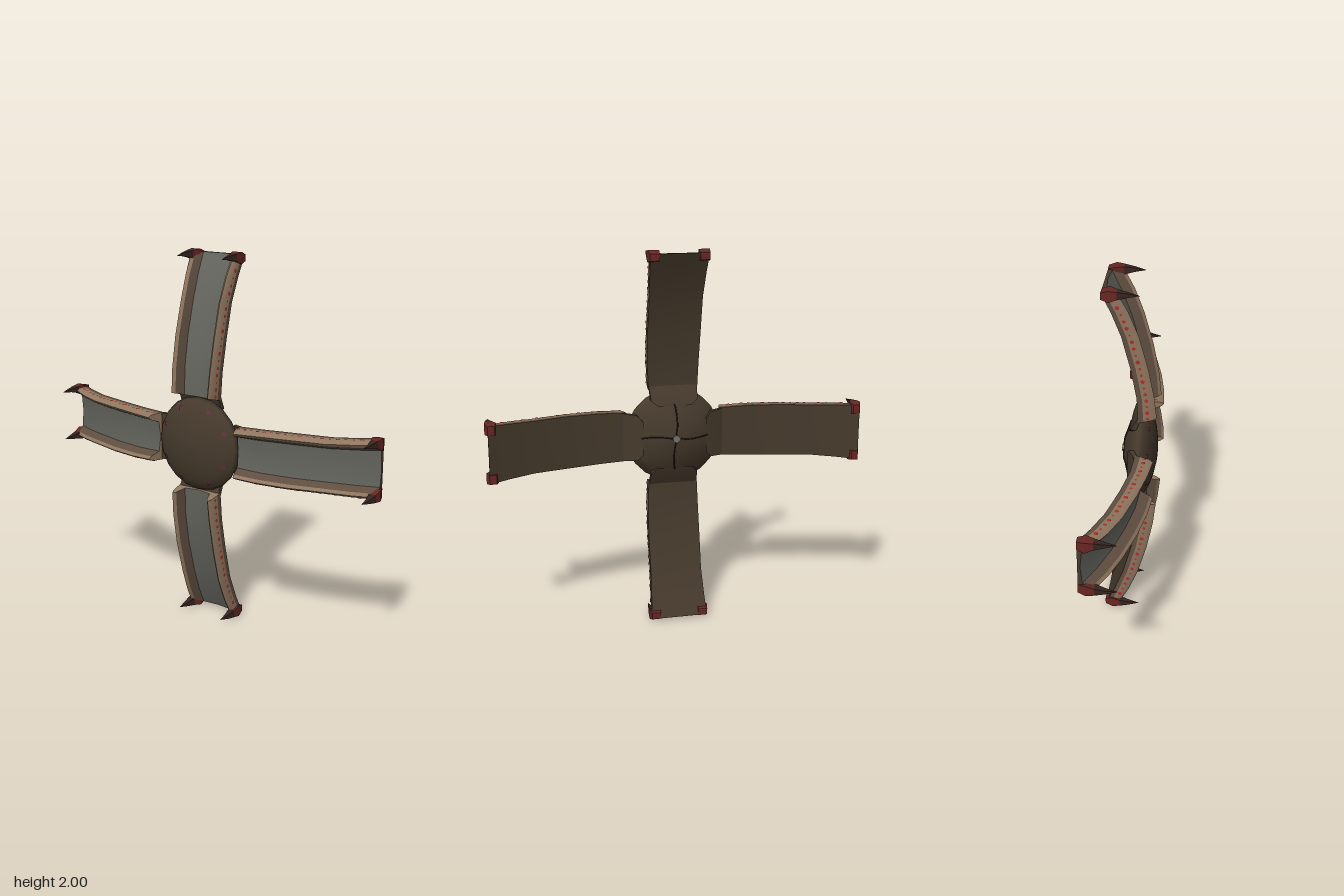
import * as THREE from 'three';
import { mergeGeometries, toCreasedNormals } from 'three/addons/utils/BufferGeometryUtils.js';

const mat = (name, color, side = THREE.FrontSide) => {
  const m = new THREE.MeshStandardMaterial({ color, side });
  m.name = name;
  return m;
};

// Skin a grid of points: rows of equal length, joined row to row
function loft(rows, crease = 0.7) {
  const pos = [];
  for (let i = 0; i < rows.length - 1; i++) {
    for (let j = 0; j < rows[i].length - 1; j++) {
      const a = rows[i][j], b = rows[i][j + 1], c = rows[i + 1][j + 1], d = rows[i + 1][j];
      pos.push(...a, ...b, ...c, ...a, ...c, ...d);
    }
  }
  const g = new THREE.BufferGeometry();
  g.setAttribute('position', new THREE.Float32BufferAttribute(pos, 3));
  g.computeVertexNormals();
  return toCreasedNormals(g, crease);
}

// Arm stations: radius, half width, back z, thickness
const STATIONS = [
  [0.25, 0.132, 0.04, 0.095], [0.4, 0.138, 0.034, 0.088], [0.57, 0.141, 0.004, 0.086],
  [0.75, 0.14, -0.042, 0.084], [0.88, 0.146, -0.09, 0.082], [0.985, 0.152, -0.138, 0.075],
];
// Half of the channel section: width and height fractions
const HALF = [[1, 0], [1, 0.3], [0.97, 0.78], [0.88, 1], [0.77, 0.85], [0.62, 0.3]];
const LOOP = [...HALF, [0, 0.18], ...HALF.map(([t, h]) => [-t, h]).reverse(), HALF[0]];

function ring([r, w, z, h], skew) {
  return LOOP.map(([t, f]) => [r + f * skew, t * w, z + f * h]);
}

function stationAt(r) {
  let i = 0;
  while (i < STATIONS.length - 2 && r > STATIONS[i + 1][0]) i++;
  const a = STATIONS[i], b = STATIONS[i + 1], k = (r - a[0]) / (b[0] - a[0]);
  return a.map((v, n) => v + (b[n] - v) * k);
}

export function createModel() {
  const shell = mat('shell brown', 0x463a2c);
  const rim = mat('rim tan', 0x8f765f);
  const rimInner = mat('rim shadow brown', 0x5f4e40);
  const floor = mat('channel grey', 0x65655f);
  const claw = mat('claw red', 0x672724);
  const clawTip = mat('claw dark', 0x382420);
  const spot = mat('spot red', 0xb02c26, THREE.DoubleSide);
  const mark = mat('hub mark', 0x63303a, THREE.DoubleSide);
  const seam = mat('seam dark', 0x1f1914);
  const stud = mat('stud grey', 0x77756f);

  const root = new THREE.Group();
  root.name = 'fourArmedDisc';
  const body = new THREE.Group();
  body.name = 'body';
  body.position.y = 1;
  root.add(body);
  const add = (parent, name, geometry, material) => {
    const m = new THREE.Mesh(geometry, material);
    m.name = name;
    parent.add(m);
    return m;
  };

  // Hub: lens shaped disc, profile from back centre to front centre
  const profile = [[0, -0.05], [0.07, -0.042], [0.14, -0.02], [0.21, 0.01], [0.255, 0.045],
    [0.243, 0.068], [0.2, 0.092], [0.14, 0.112], [0.07, 0.126], [0, 0.131]];
  const hub = new THREE.LatheGeometry(profile.map(([r, z]) => new THREE.Vector2(r, z)), 20);
  hub.rotateX(Math.PI / 2);
  add(body, 'hub', hub, shell);
  const boss = new THREE.CylinderGeometry(0.02, 0.02, 0.012, 10);
  boss.rotateX(Math.PI / 2);
  boss.translate(0, 0, -0.051);
  add(body, 'backStud', boss, stud);

  // Arm skins, one for each coloured band of the section
  const rings = STATIONS.map((s, i) => ring(s, i === 0 ? 0.025 : 0));
  const band = (from, to) => loft(rings.map((r) => r.slice(from, to + 1)));
  const both = (from, to) => mergeGeometries([band(from, to), band(12 - to, 12 - from)]);
  const flat = (r) => r.map(([x, y], i) => [r[0][0], y, r[0][2]]);
  const first = rings[0].slice(0, 13), last = rings[rings.length - 1].slice(0, 13);
  const armParts = [
    ['armBack', band(12, 13), shell],
    ['armEdges', both(0, 1), rimInner],
    ['armRims', both(1, 4), rim],
    ['rimInnerWalls', both(4, 5), rimInner],
    ['channelFloor', band(5, 7), floor],
    ['armRootCap', loft([flat(first), first]), rim],
    ['armTipCap', loft([last, flat(last)]), shell],
  ];

  // Collar: plate that carries the arm's back onto the hub
  const collar = loft([[0.17, 0.09, -0.011, 0.03], [0.2, 0.125, 0, 0.03], [0.27, 0.13, 0.036, 0.02]]
    .map(([x, w, z, h]) => [[x, w, z], [x, w, z + h], [x, -w, z + h], [x, -w, z], [x, w, z]]));
  armParts.push(['armCollar', collar, shell]);

  // Back seam following the hub from its centre to the arm
  const seamPath = new THREE.CatmullRomCurve3([[0.015, 0, -0.049], [0.07, 0.008, -0.043],
    [0.14, 0.006, -0.021], [0.18, 0, -0.009]].map((p) => new THREE.Vector3(...p)));
  armParts.push(['backSeam', new THREE.TubeGeometry(seamPath, 8, 0.004, 5), seam]);

  // Rows of spots on the outer walls
  const spots = [];
  for (let i = 0; i < 18; i++) {
    const [r, w, z, h] = stationAt(0.28 + i * 0.037);
    for (const s of [-1, 1]) {
      const g = new THREE.CircleGeometry(0.009 + 0.003 * Math.sin(i * 2.3), 6);
      g.rotateX(-s * Math.PI / 2);
      g.translate(r, s * (w * 0.985 + 0.003), z + h * 0.55);
      spots.push(g);
    }
  }
  armParts.push(['rimSpots', mergeGeometries(spots), spot]);

  // Small marks around the hub's front
  const marks = [-1, 1].map((s) => {
    const g = new THREE.CircleGeometry(0.013, 8);
    g.rotateY(0.5);
    g.rotateZ(s * 0.44);
    g.translate(0.19, s * 0.09, 0.091);
    return g;
  });
  armParts.push(['hubMarks', mergeGeometries(marks), mark]);

  // Claws: square sections shrinking to a forward point
  const square = ([x0, x1, y0, y1, z]) =>
    [[x1, y0, z], [x1, y1, z], [x0, y1, z], [x0, y0, z], [x1, y0, z]];
  const clawRings = [[0.965, 0.965, 0.13, 0.13, -0.141], [0.95, 0.986, 0.105, 0.153, -0.139],
    [0.94, 1, 0.1, 0.16, -0.1], [0.955, 0.995, 0.118, 0.157, -0.06],
    [0.966, 0.988, 0.13, 0.15, -0.01], [0.975, 0.975, 0.14, 0.14, 0.05]].map(square);
  const clawBase = loft(clawRings.slice(0, 4), 0.3);
  const clawPoint = loft(clawRings.slice(3), 0.3);

  for (let k = 0; k < 4; k++) {
    const arm = new THREE.Group();
    arm.name = ['leftArm', 'topArm', 'rightArm', 'bottomArm'][k];
    arm.rotation.z = k * Math.PI / 2;
    for (const [name, g, m] of armParts) add(arm, name, g, m);
    for (const s of [-1, 1]) {
      const c = new THREE.Group();
      c.name = 'claw';
      c.scale.y = s;
      add(c, 'clawBase', clawBase, claw);
      add(c, 'clawPoint', clawPoint, clawTip);
      arm.add(c);
    }
    body.add(arm);
  }
  return root;
}
